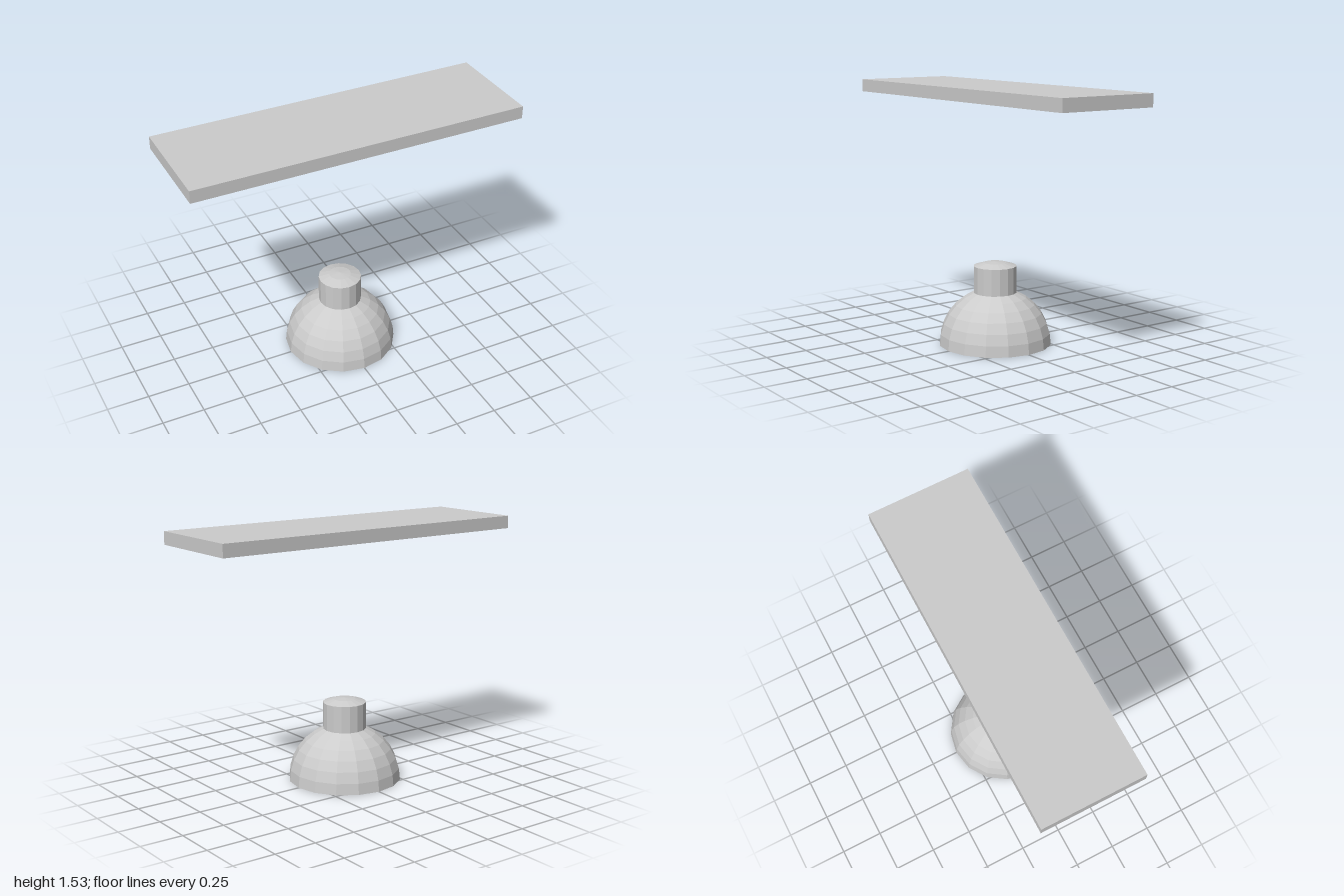
import * as THREE from 'three';

const grey = new THREE.MeshStandardMaterial({ color: 0xcccccc });
const shadeGrey = new THREE.MeshStandardMaterial({
  color: 0xcccccc, flatShading: true, side: THREE.DoubleSide,
});

function addPart(parent, name, geometry, material = grey) {
  const mesh = new THREE.Mesh(geometry, material);
  mesh.name = name;
  parent.add(mesh);
  return mesh;
}

function rectangle(PathType, halfX, halfZ) {
  const path = new PathType();
  path.moveTo(-halfX, -halfZ);
  path.lineTo(halfX, -halfZ);
  path.lineTo(halfX, halfZ);
  path.lineTo(-halfX, halfZ);
  path.closePath();
  return path;
}

// Open hemispherical shade whose crown is lifted to form a neck
function createDomeLamp() {
  const lamp = new THREE.Group();
  lamp.name = 'domeLamp';
  const radius = 0.335, rows = 8, neckRow = 6, neckHeight = 0.16;
  const ring = (row, lift) => {
    const a = (row / rows) * Math.PI / 2;
    const r = row === rows ? 0 : radius * Math.cos(a);
    return new THREE.Vector2(r, radius * Math.sin(a) + lift);
  };
  const profile = (from, to, lift) => {
    const points = [];
    for (let row = from; row <= to; row++) points.push(ring(row, lift));
    return points;
  };
  const sides = 16;
  addPart(lamp, 'shade', new THREE.LatheGeometry(profile(0, neckRow, 0), sides), shadeGrey);
  addPart(lamp, 'neck', new THREE.LatheGeometry(
    [ring(neckRow, 0), ring(neckRow, neckHeight)], sides), shadeGrey);
  addPart(lamp, 'neckCap', new THREE.LatheGeometry(
    profile(neckRow, rows, neckHeight), sides), shadeGrey);
  return lamp;
}

// Flat ceiling fixture, recessed underneath, holding two tubes
function createCeilingLight() {
  const light = new THREE.Group();
  light.name = 'ceilingLight';
  const bottom = 1.455, top = 1.53, depth = 0.06;
  const halfX = 1, halfZ = 0.307, recessX = 0.85, recessZ = 0.235;

  // Frame around the recess
  const outline = rectangle(THREE.Shape, halfX, halfZ);
  outline.holes.push(rectangle(THREE.Path, recessX, recessZ));
  const frame = new THREE.ExtrudeGeometry(outline, { depth, bevelEnabled: false });
  frame.rotateX(-Math.PI / 2);
  addPart(light, 'frame', frame).position.y = bottom;

  // Closed back of the housing
  const thickness = top - bottom - depth;
  addPart(light, 'topPanel', new THREE.BoxGeometry(halfX * 2, thickness, halfZ * 2))
    .position.y = top - thickness / 2;

  // Tubes running the length of the recess
  for (const side of [-1, 1]) {
    const tube = new THREE.CylinderGeometry(0.026, 0.026, recessX * 2, 16);
    tube.rotateZ(Math.PI / 2);
    addPart(light, side > 0 ? 'frontTube' : 'backTube', tube)
      .position.set(0, 1.484, side * 0.118);
  }
  return light;
}

export function createModel() {
  const model = new THREE.Group();
  model.name = 'lamps';
  model.add(createDomeLamp(), createCeilingLight());
  return model;
}
